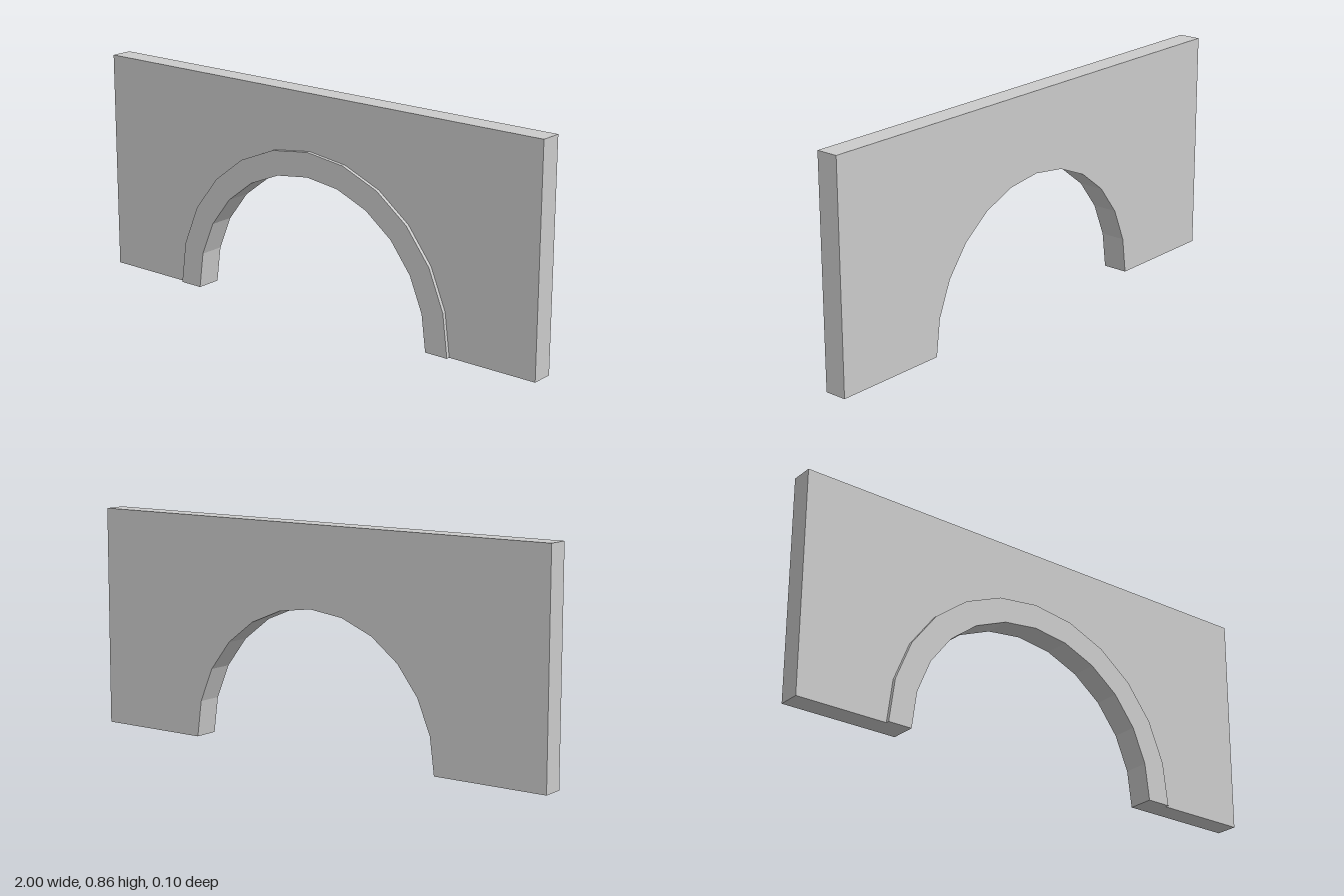
import * as THREE from 'three';

const WIDTH = 2, HEIGHT = 0.857;
const INNER = 0.545, OUTER = 0.64, SEGMENTS = 12;
const BACK = -0.05, FACE = 0.036, FRONT = 0.05;

// Points of a faceted half circle, running from +x over the top to -x
function archPoints(radius) {
  return Array.from({ length: SEGMENTS + 1 }, (_, i) => {
    const a = (i / SEGMENTS) * Math.PI;
    return new THREE.Vector2(radius * Math.cos(a), i === SEGMENTS ? 0 : radius * Math.sin(a));
  });
}

// Flat outline extruded between two depths
function slab(name, points, z0, z1, material) {
  const geometry = new THREE.ExtrudeGeometry(new THREE.Shape(points), {
    depth: z1 - z0,
    bevelEnabled: false,
  });
  geometry.translate(0, 0, z0);
  const mesh = new THREE.Mesh(geometry, material);
  mesh.name = name;
  return mesh;
}

export function createModel() {
  const group = new THREE.Group();
  group.name = 'archedWall';
  const material = new THREE.MeshStandardMaterial({ color: 0xcccccc, flatShading: true });

  // Wall panel with the arched opening cut from its lower edge
  const w = WIDTH / 2;
  const wallOutline = [
    ...archPoints(INNER),
    new THREE.Vector2(-w, 0),
    new THREE.Vector2(-w, HEIGHT),
    new THREE.Vector2(w, HEIGHT),
    new THREE.Vector2(w, 0),
  ];
  group.add(slab('wall', wallOutline, BACK, FACE, material));

  // Raised trim around the opening, on the front only
  const trimOutline = [...archPoints(OUTER), ...archPoints(INNER).reverse()];
  group.add(slab('archTrim', trimOutline, FACE, FRONT, material));

  return group;
}
